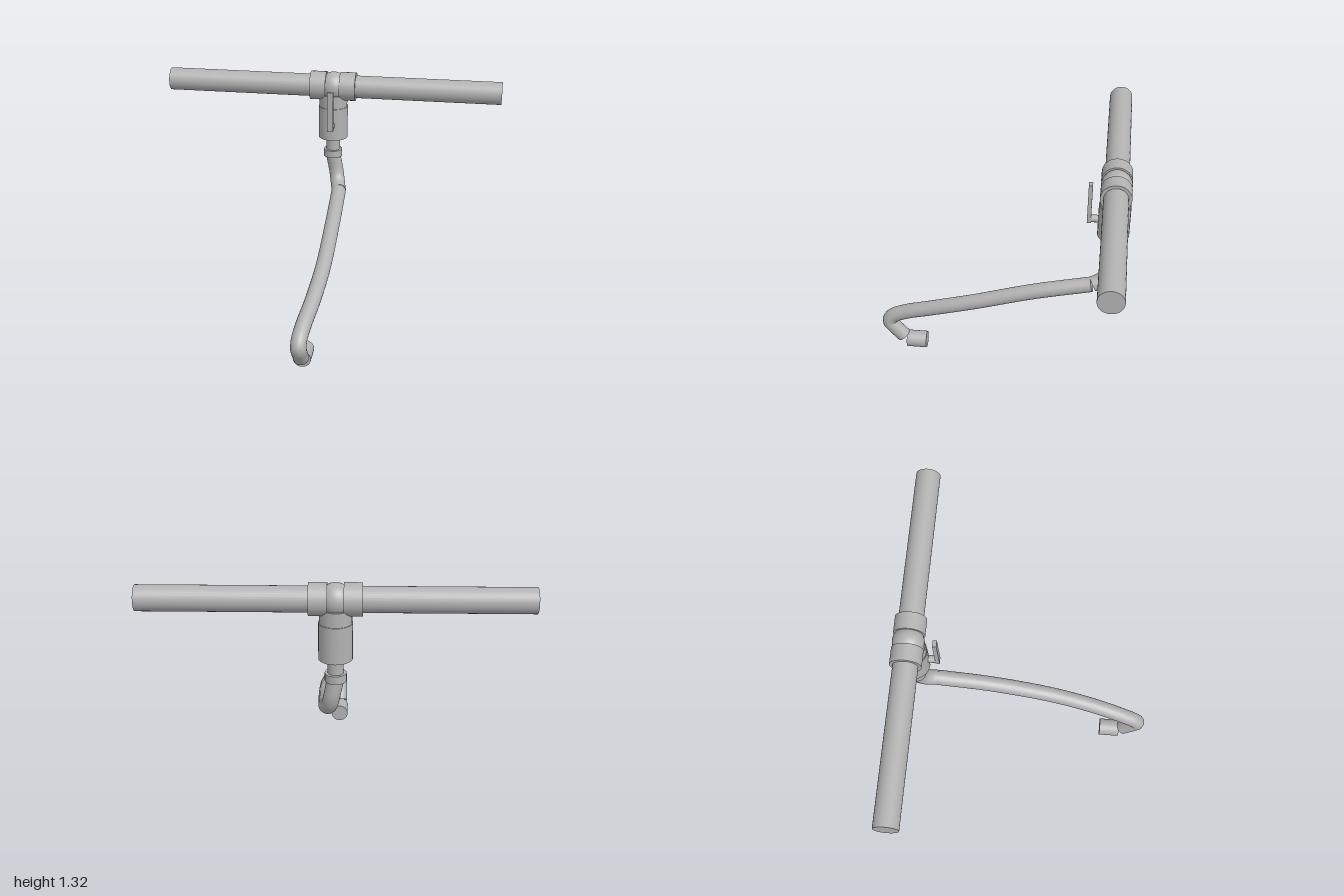
import * as THREE from 'three';

export function createModel() {
  const model = new THREE.Group();
  const metal = new THREE.MeshStandardMaterial({ color: 0xb2b2b2 });
  metal.name = 'grey metal';
  const PY = 1.235, PZ = -0.625; // main pipe axis

  function add(name, geometry, x, y, z, parent = model) {
    const mesh = new THREE.Mesh(geometry, metal);
    mesh.name = name;
    mesh.position.set(x, y, z);
    parent.add(mesh);
    return mesh;
  }

  // Solid cylinder along a chosen axis
  function rod(name, axis, radius, length, x, y, z, sides = 24) {
    const g = new THREE.CylinderGeometry(radius, radius, length, sides);
    if (axis === 'x') g.rotateZ(Math.PI / 2);
    if (axis === 'z') g.rotateX(Math.PI / 2);
    return add(name, g, x, y, z);
  }

  // Vertical cylinder under the tee, given its bottom and top heights
  const column = (name, radius, y0, y1) =>
    rod(name, 'y', radius, y1 - y0, 0, (y0 + y1) / 2, PZ);

  // Bent tube with a flat disc closing each end
  function hose(name, points, radius, steps) {
    const group = new THREE.Group();
    group.name = name;
    const curve = new THREE.CatmullRomCurve3(points.map(p => new THREE.Vector3(...p)));
    add(name + 'Tube', new THREE.TubeGeometry(curve, steps, radius, 20), 0, 0, 0, group);
    for (const t of [0, 1]) {
      const end = curve.getPointAt(t);
      const out = curve.getTangentAt(t).multiplyScalar(t ? 1 : -1);
      const cap = add(name + 'End', new THREE.CircleGeometry(radius, 20), end.x, end.y, end.z, group);
      cap.quaternion.setFromUnitVectors(new THREE.Vector3(0, 0, 1), out);
    }
    model.add(group);
  }

  // Main pipe and tee fitting
  rod('mainPipe', 'x', 0.067, 2, 0, PY, PZ, 32);
  for (const s of [-1, 1]) rod('teeCollar', 'x', 0.085, 0.095, s * 0.0885, PY, PZ);
  add('teeCentre', new THREE.SphereGeometry(0.085, 28, 20), 0, PY, PZ);
  column('teeNeck', 0.084, 1.1, 1.19);

  // Valve body and outlet
  column('valveBody', 0.088, 0.915, 1.112);
  column('outletStem', 0.041, 0.79, 0.92);
  column('outletRing', 0.056, 0.79, 0.835);

  // Lever handle
  rod('leverPivot', 'z', 0.021, 0.07, 0, 1.014, -0.53, 12);
  add('lever', new THREE.BoxGeometry(0.036, 0.242, 0.022), 0, 1.114, -0.488);

  // Short elbow, then the long hose running forward
  hose('elbow', [
    [0, 0.8, PZ], [0.02, 0.70, -0.623], [0.03, 0.65, -0.605],
    [0.04, 0.617, -0.57], [0.05, 0.6, -0.53],
  ], 0.044, 32);
  hose('longHose', [
    [0.05, 0.597, -0.525], [0.058, 0.523, -0.2], [0.055, 0.41, 0.16],
    [0.034, 0.326, 0.406], [0.01, 0.263, 0.57], [0, 0.217, 0.65],
    [0, 0.178, 0.67], [0, 0.14, 0.645], [0, 0.073, 0.588],
  ], 0.044, 90);

  // Nozzle at the end of the hose
  rod('nozzle', 'z', 0.05, 0.118, 0, 0.05, 0.506);

  return model;
}
